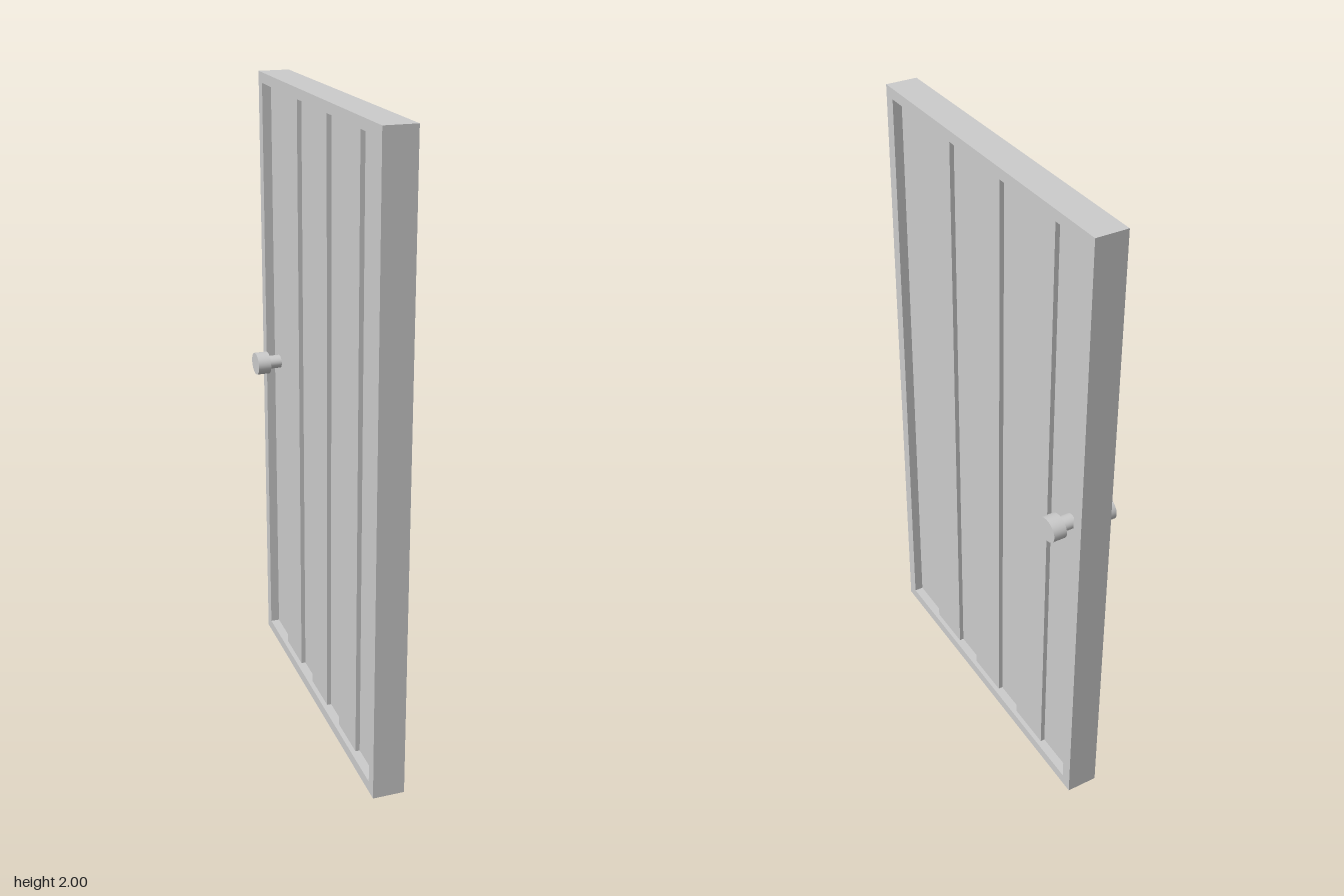
import * as THREE from 'three';

const material = new THREE.MeshStandardMaterial({ color: 0xcccccc });

function addMesh(parent, name, geometry, x = 0, y = 0, z = 0) {
  const mesh = new THREE.Mesh(geometry, material);
  mesh.name = name;
  mesh.position.set(x, y, z);
  parent.add(mesh);
  return mesh;
}

function rectangle(PathType, halfWidth, bottom, top) {
  return new PathType([
    new THREE.Vector2(-halfWidth, bottom), new THREE.Vector2(halfWidth, bottom),
    new THREE.Vector2(halfWidth, top), new THREE.Vector2(-halfWidth, top),
  ]);
}

export function createModel() {
  const door = new THREE.Group();
  door.name = 'door';

  // Outer frame: rectangular rim, extruded through the door's thickness
  const rim = rectangle(THREE.Shape, 0.55, 0, 2);
  rim.holes.push(rectangle(THREE.Path, 0.512, 0.035, 1.967));
  const frame = new THREE.ExtrudeGeometry(rim, { depth: 0.1, bevelEnabled: false });
  frame.translate(0, 0, -0.05).rotateY(Math.PI / 2);
  addMesh(door, 'frame', frame);

  // Recessed panel filling the frame
  addMesh(door, 'panel', new THREE.BoxGeometry(0.042, 1.932, 1.024), 0, 1.001, 0);

  // Three raised planks, standing proud on both faces
  for (const z of [-0.275, 0, 0.275]) {
    addMesh(door, 'plank', new THREE.BoxGeometry(0.07, 1.928, 0.156), 0, 0.999, z);
  }

  // Slightly flattened round handle on each face
  for (const side of [-1, 1]) {
    const handle = new THREE.Group();
    handle.name = side > 0 ? 'leftHandle' : 'rightHandle';
    handle.position.set(0, 1.055, -0.458);
    handle.scale.y = 0.85;
    const stem = new THREE.CylinderGeometry(0.025, 0.025, 0.05, 32).rotateZ(Math.PI / 2);
    const knob = new THREE.CylinderGeometry(0.0425, 0.0425, 0.042, 32).rotateZ(Math.PI / 2);
    addMesh(handle, 'stem', stem, side * 0.045);
    addMesh(handle, 'knob', knob, side * 0.084);
    door.add(handle);
  }

  return door;
}
